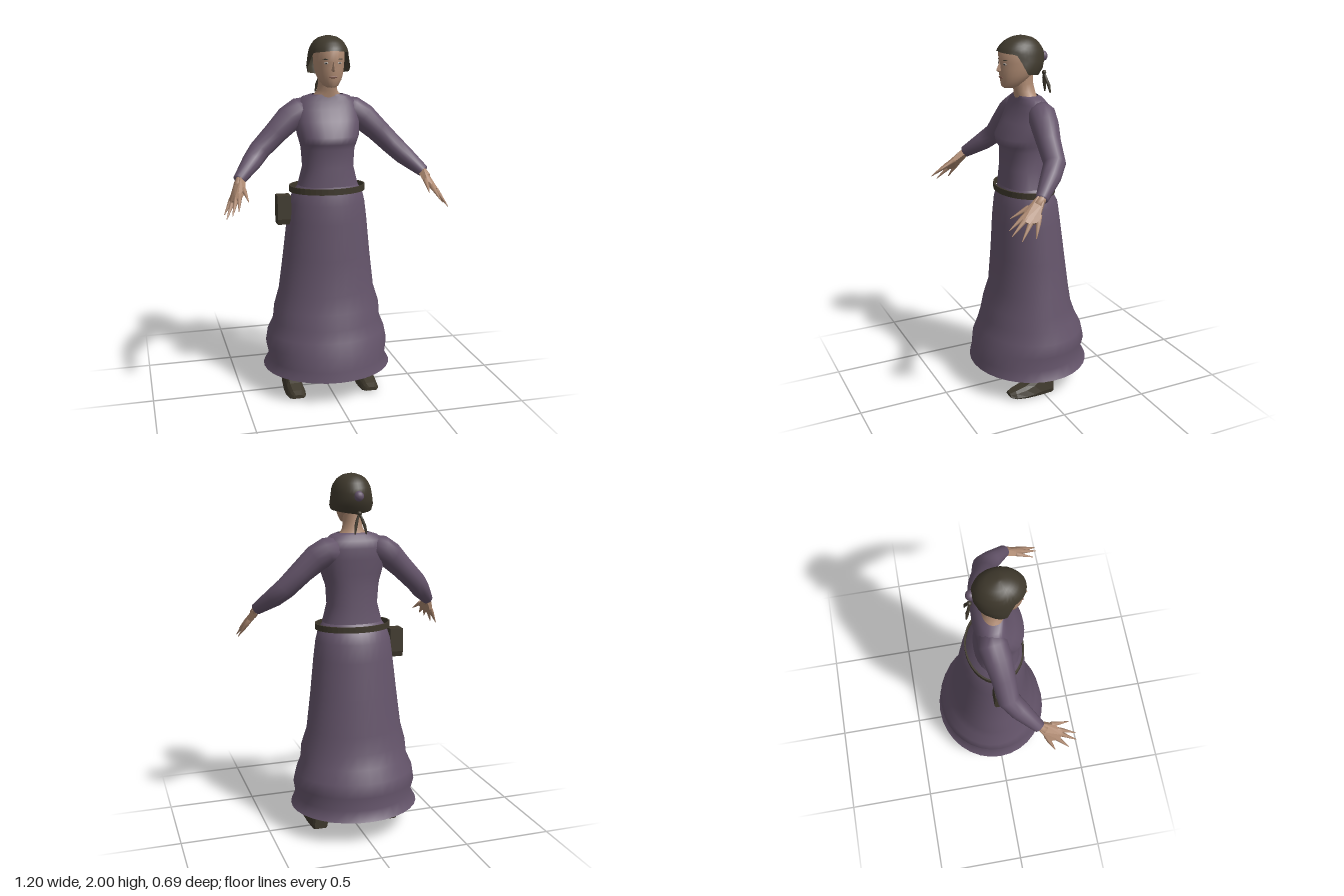
import * as THREE from 'three';
import { ConvexGeometry } from 'three/addons/geometries/ConvexGeometry.js';

const V = (x, y, z) => new THREE.Vector3(x, y, z);
const mat = (name, color, side = THREE.FrontSide) => {
  const m = new THREE.MeshStandardMaterial({ color, side });
  m.name = name;
  return m;
};

// Skin a list of closed rings; optional end caps
function loft(rings, caps = false) {
  const n = rings[0].length, pos = [], idx = [];
  rings.forEach(r => r.forEach(p => pos.push(p.x, p.y, p.z)));
  for (let i = 0; i < rings.length - 1; i++) {
    for (let j = 0; j < n; j++) {
      const a = i * n + j, b = i * n + (j + 1) % n;
      idx.push(a, b, b + n, a, b + n, a + n);
    }
  }
  if (caps) {
    [0, rings.length - 1].forEach(i => {
      const c = rings[i].reduce((s, p) => s.add(p), V(0, 0, 0)).divideScalar(n);
      const k = pos.length / 3;
      pos.push(c.x, c.y, c.z);
      for (let j = 0; j < n; j++) {
        const a = i * n + j, b = i * n + (j + 1) % n;
        if (i) idx.push(k, a, b); else idx.push(k, b, a);
      }
    });
  }
  const g = new THREE.BufferGeometry();
  g.setAttribute('position', new THREE.Float32BufferAttribute(pos, 3));
  g.setIndex(idx);
  g.computeVertexNormals();
  return g;
}

// Horizontal rounded ring: height, half width, front z, back z
function ring([y, hx, zf, zb], n = 28, power = 2) {
  const f = v => Math.sign(v) * Math.abs(v) ** (2 / power);
  return Array.from({ length: n }, (_, j) => {
    const a = j / n * Math.PI * 2;
    return V(hx * f(Math.sin(a)), y, (zf + zb) / 2 + (zf - zb) / 2 * f(Math.cos(a)));
  });
}

// Tapered round limb along a path
function limb(path, radii, n = 10) {
  const rings = path.map((p, i) => {
    const t = path[Math.min(i + 1, path.length - 1)].clone().sub(path[Math.max(i - 1, 0)]).normalize();
    const ref = Math.abs(t.z) > 0.85 ? V(0, 1, 0) : V(0, 0, 1);
    const u = ref.cross(t).normalize(), w = t.clone().cross(u);
    return Array.from({ length: n }, (_, j) => {
      const a = j / n * Math.PI * 2;
      return p.clone().addScaledVector(u, radii[i] * Math.cos(a)).addScaledVector(w, radii[i] * Math.sin(a));
    });
  });
  return loft(rings, true);
}

// Linear lookup in rows sorted by falling height
function rowAt(rows, y) {
  let i = 0;
  while (i < rows.length - 2 && y < rows[i + 1][0]) i++;
  const a = rows[i], b = rows[i + 1], t = (y - a[0]) / (b[0] - a[0]);
  return a.map((v, k) => v + (b[k] - v) * t);
}

export function createModel() {
  const model = new THREE.Group();
  const dress = mat('dress purple', 0x64546a, THREE.DoubleSide);
  const skin = mat('skin', 0xae8a72);
  const dark = mat('dark brown', 0x3e382c, THREE.DoubleSide);
  const lips = mat('lips', 0x80594c);
  const white = mat('eye white', 0xb5aca4);
  const pupil = mat('pupil', 0x2c2824);
  const add = (name, geo, m) => {
    const mesh = new THREE.Mesh(geo, m);
    mesh.name = name;
    model.add(mesh);
    return mesh;
  };
  const ball = (name, m, p, s) => {
    const b = add(name, new THREE.SphereGeometry(1, 14, 10), m);
    b.position.set(...p);
    b.scale.set(...s);
    return b;
  };

  // Skirt, open at the hem
  add('skirt', loft([
    [0.145, 0.365, 0.32, -0.35], [0.2, 0.335, 0.31, -0.315], [0.28, 0.35, 0.3, -0.335],
    [0.35, 0.338, 0.268, -0.318], [0.42, 0.308, 0.25, -0.283], [0.5, 0.302, 0.23, -0.252],
    [0.6, 0.272, 0.2, -0.238], [0.8, 0.247, 0.185, -0.212], [1.0, 0.225, 0.175, -0.186],
    [1.1, 0.212, 0.165, -0.172], [1.16, 0.195, 0.152, -0.14], [1.2, 0.166, 0.14, -0.108],
  ].map(r => ring(r, 32))), dress);

  // Bodice up to the collar
  const bodice = [
    [1.2, 0.166, 0.14, -0.108], [1.3, 0.14, 0.135, -0.1], [1.4, 0.147, 0.13, -0.1],
    [1.43, 0.155, 0.15, -0.1], [1.47, 0.168, 0.155, -0.102], [1.55, 0.18, 0.105, -0.108],
    [1.61, 0.18, 0.075, -0.11], [1.65, 0.163, 0.06, -0.1], [1.678, 0.13, 0.052, -0.08],
    [1.69, 0.09, 0.05, -0.062],
  ];
  add('bodice', loft(bodice.map(r => ring(r, 28, 2.3))), dress);

  // Belt
  const band = new THREE.Shape().absellipse(0, 0, 0.212, 0.16, 0, Math.PI * 2);
  band.holes.push(new THREE.Path().absellipse(0, 0, 0.203, 0.151, 0, Math.PI * 2, true));
  const beltGeo = new THREE.ExtrudeGeometry(band, { depth: 0.032, bevelEnabled: false, curveSegments: 20 });
  beltGeo.rotateX(-Math.PI / 2).translate(0, 1.163, 0.005);
  add('belt', beltGeo, dark);

  // Belt pouch
  const pouch = new THREE.Shape();
  pouch.moveTo(-0.035, 0).lineTo(0.035, 0).lineTo(0.042, 0.03).lineTo(0.036, 0.16).lineTo(-0.036, 0.16).lineTo(-0.042, 0.03);
  const pouchGeo = new THREE.ExtrudeGeometry(pouch, { depth: 0.075, bevelEnabled: false });
  pouchGeo.rotateY(-Math.PI / 2).translate(-0.21, 0.985, 0);
  add('pouch', pouchGeo, dark);

  // Neck and head
  add('neck', loft([
    [1.655, 0.105, 0.05, -0.07], [1.685, 0.075, 0.055, -0.06], [1.71, 0.056, 0.06, -0.054],
    [1.75, 0.05, 0.07, -0.045], [1.8, 0.05, 0.08, -0.045],
  ].map(r => ring(r, 16))), skin);
  add('head', loft([
    [1.732, 0.022, 0.12, 0.06], [1.742, 0.04, 0.133, 0.03], [1.77, 0.06, 0.138, -0.01],
    [1.8, 0.072, 0.142, -0.04], [1.83, 0.078, 0.143, -0.06], [1.865, 0.082, 0.143, -0.07],
    [1.92, 0.083, 0.148, -0.07], [1.95, 0.07, 0.12, -0.05],
  ].map(r => ring(r, 24)), true), skin);
  add('nose', new ConvexGeometry([
    V(0, 1.875, 0.142), V(0, 1.828, 0.164), V(0, 1.82, 0.16), V(-0.014, 1.82, 0.135),
    V(0.014, 1.82, 0.135), V(0, 1.812, 0.135), V(-0.006, 1.87, 0.13), V(0.006, 1.87, 0.13),
  ]), skin);
  ball('mouth', lips, [0, 1.788, 0.139], [0.024, 0.006, 0.004]);

  // Hair cap with a face opening
  const hairRows = [
    [2.0, 0.01, 0.035, 0.015], [1.993, 0.045, 0.075, -0.03], [1.972, 0.077, 0.115, -0.065],
    [1.94, 0.098, 0.147, -0.092], [1.915, 0.105, 0.158, -0.103], [1.88, 0.11, 0.156, -0.106],
    [1.83, 0.119, 0.15, -0.092], [1.785, 0.105, 0.14, -0.06],
  ];
  const steps = 9, around = 40;
  const hairEdge = a => {
    const d = Math.abs(a > Math.PI ? a - 2 * Math.PI : a) * 180 / Math.PI;
    if (d < 62) return 1.924 - 0.012 * d / 62;
    if (d < 86) return 1.912 - 0.1 * (d - 62) / 24;
    return 1.812 - 0.024 * (d - 86) / 94;
  };
  const hair = Array.from({ length: steps + 1 }, (_, i) =>
    Array.from({ length: around }, (_, j) => {
      const low = hairEdge(j / around * Math.PI * 2), t = i / steps;
      const y = low + (2 - low) * Math.sin(t * Math.PI / 2);
      return ring(rowAt(hairRows, y), around)[j];
    }));
  const hairGeo = loft(hair);
  add('hair', hairGeo, dark);
  ball('hairTop', dark, [0, 1.995, 0.025], [0.018, 0.005, 0.018]);
  ball('bun', dress, [0, 1.885, -0.108], [0.026, 0.027, 0.024]);
  ball('ribbonKnot', dark, [0, 1.797, -0.115], [0.013, 0.012, 0.012]);

  for (const s of [1, -1]) {
    const side = s > 0 ? 'left' : 'right';
    const P = (x, y, z) => V(s * x, y, z);

    // Eyes and brows
    ball(side + 'Eye', white, [s * 0.036, 1.86, 0.131], [0.013, 0.006, 0.004]).rotation.y = s * 0.35;
    ball(side + 'Pupil', pupil, [s * 0.036, 1.86, 0.134], [0.005, 0.005, 0.003]);
    const brow = ball(side + 'Brow', dark, [s * 0.038, 1.88, 0.131], [0.018, 0.003, 0.004]);
    brow.rotation.y = s * 0.35;

    // Ribbon tail
    add(side + 'RibbonTail', limb([P(0, 1.797, -0.115), P(0.014, 1.765, -0.12), P(0.025, 1.73, -0.131),
      P(0.032, 1.69, -0.137)], [0.005, 0.008, 0.009, 0.004], 6), dark);

    // Sleeve
    add(side + 'Sleeve', limb([P(0.1, 1.607, -0.03), P(0.15, 1.595, -0.028), P(0.21, 1.558, -0.015),
      P(0.285, 1.488, 0), P(0.375, 1.4, 0.012), P(0.425, 1.348, 0.06), P(0.508, 1.27, 0.15)],
    [0.068, 0.076, 0.074, 0.064, 0.058, 0.053, 0.033], 14), dress);

    // Wrist, palm and fingers
    const wrist = P(0.505, 1.266, 0.152);
    const tips = [P(0.6, 1.105, 0.225), P(0.597, 1.1, 0.3), P(0.572, 1.125, 0.342), P(0.54, 1.145, 0.342), P(0.485, 1.185, 0.312)];
    const knuckles = tips.map((t, i) => wrist.clone().lerp(t, i === 4 ? 0.5 : 0.6));
    add(side + 'Wrist', limb([P(0.49, 1.285, 0.132), wrist, P(0.518, 1.243, 0.178)], [0.025, 0.024, 0.024]), skin);
    const flat = knuckles[0].clone().sub(wrist).cross(knuckles[4].clone().sub(wrist)).normalize();
    const cross = knuckles[4].clone().sub(knuckles[0]).normalize().multiplyScalar(0.022);
    const palm = [wrist.clone().add(cross), wrist.clone().sub(cross), ...knuckles];
    add(side + 'Palm', new ConvexGeometry(palm.flatMap((p, i) => [1, -1].map(d =>
      p.clone().addScaledVector(flat, d * (i < 2 ? 0.018 : 0.011))))), skin);
    tips.forEach((t, i) => add(side + 'Finger' + (i + 1),
      limb([wrist.clone().lerp(t, 0.4), knuckles[i], t], [0.014, 0.013, 0.002], 6), skin));

    // Leg and shoe
    add(side + 'Leg', limb([P(0.205, 0.1, -0.025), P(0.205, 0.2, -0.02), P(0.15, 0.7, 0)], [0.028, 0.033, 0.06]), skin);
    const shoe = [
      [-0.065, 0.036, 0.006, 0.125], [-0.05, 0.046, 0.005, 0.138], [0.02, 0.053, 0.006, 0.135],
      [0.06, 0.057, 0.008, 0.098], [0.11, 0.058, 0.01, 0.073], [0.17, 0.05, 0.014, 0.055], [0.202, 0.032, 0.022, 0.042],
    ].map(([z, w, lo, hi]) => [[-0.9, 0], [0.9, 0], [1, 0.18], [0.78, 0.7], [0.5, 1], [-0.5, 1], [-0.78, 0.7], [-1, 0.18]]
      .map(([x, t]) => V(s * 0.213 + x * w, lo + (hi - lo) * t, z)));
    const shoeGeo = loft(shoe, true).toNonIndexed();
    shoeGeo.computeVertexNormals();
    add(side + 'Shoe', shoeGeo, dark);
  }
  return model;
}
